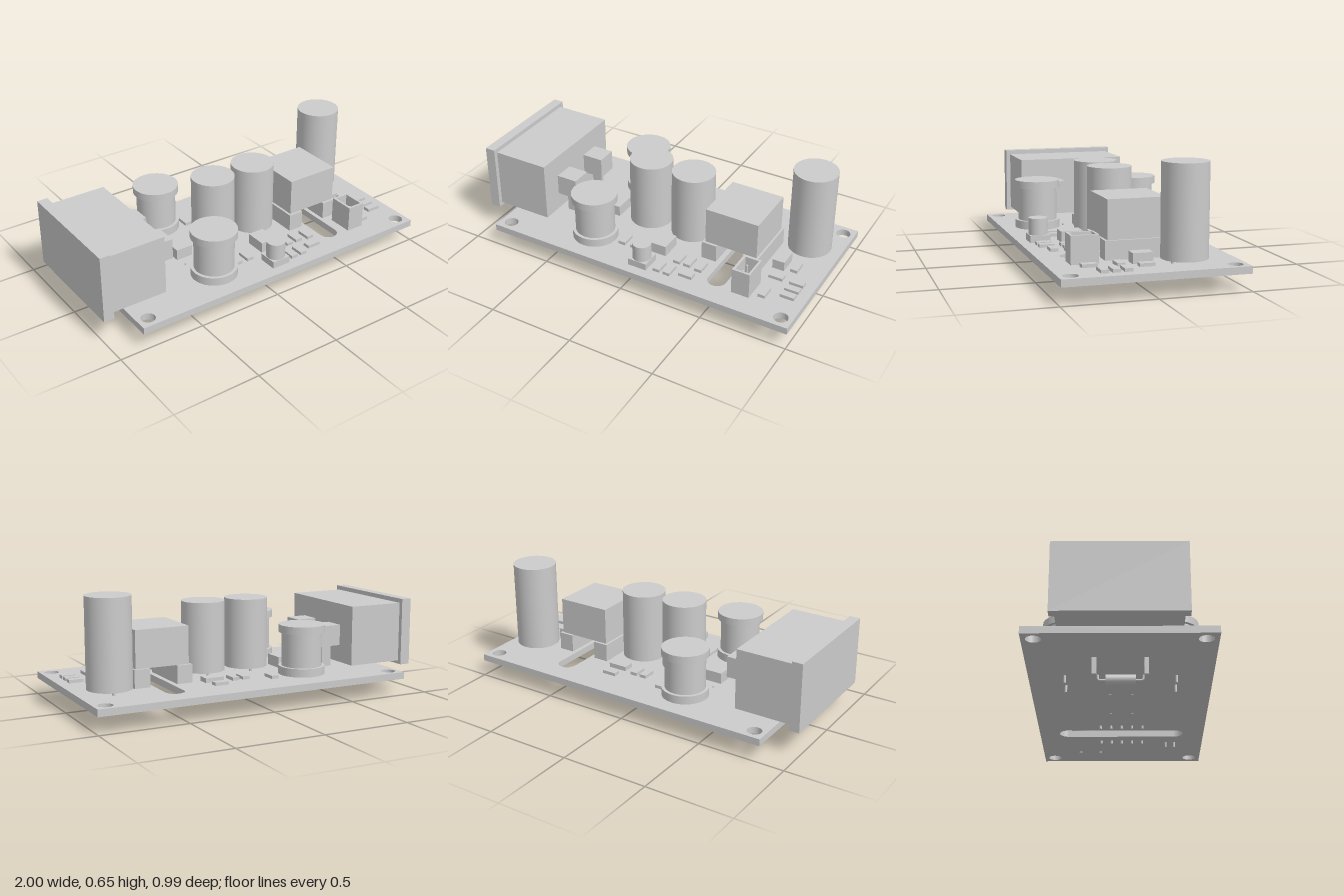
import * as THREE from 'three';

const grey = new THREE.MeshStandardMaterial({ color: 0xcccccc });
const TOP = 0.132, BOTTOM = 0.093;

export function createModel() {
  const model = new THREE.Group();

  const add = (name, geometry, parent = model) => {
    const mesh = new THREE.Mesh(geometry, grey);
    mesh.name = name;
    parent.add(mesh);
    return mesh;
  };
  const group = (name) => {
    const g = new THREE.Group();
    g.name = name;
    model.add(g);
    return g;
  };
  // box given by its limits on each axis
  const box = (name, x0, x1, y0, y1, z0, z1, parent) => {
    const m = add(name, new THREE.BoxGeometry(x1 - x0, y1 - y0, z1 - z0), parent);
    m.position.set((x0 + x1) / 2, (y0 + y1) / 2, (z0 + z1) / 2);
    return m;
  };
  // upright cylinder between two heights
  const post = (name, x, z, r, y0, y1, parent, sides = 48) => {
    const m = add(name, new THREE.CylinderGeometry(r, r, y1 - y0, sides), parent);
    m.position.set(x, (y0 + y1) / 2, z);
    return m;
  };

  // circuit board with corner holes and an isolation slot
  const outline = new THREE.Shape([[-0.855, -0.495], [1, -0.495], [1, 0.495], [-0.855, 0.495]]
    .map(([x, y]) => new THREE.Vector2(x, y)));
  for (const x of [-0.79, 0.935]) for (const y of [-0.43, 0.43]) {
    outline.holes.push(new THREE.Path().absarc(x, y, 0.04, 0, Math.PI * 2, true));
  }
  const slot = new THREE.Path();
  slot.absarc(0.505, 0.322, 0.053, 0, Math.PI, false);
  slot.absarc(0.505, -0.317, 0.053, Math.PI, Math.PI * 2, false);
  slot.closePath();
  outline.holes.push(slot);
  const boardGeometry = new THREE.ExtrudeGeometry(outline,
    { depth: TOP - BOTTOM, bevelEnabled: false, curveSegments: 20 });
  boardGeometry.rotateX(-Math.PI / 2).translate(0, BOTTOM, 0);
  add('circuitBoard', boardGeometry);

  // power inlet with flange, rear tabs and long legs
  const inlet = group('powerInlet');
  box('inletFlange', -1, -0.94, 0.14, 0.528, -0.345, 0.345, inlet);
  box('inletBody', -0.94, -0.61, 0.16, 0.503, -0.32, 0.32, inlet);
  for (const s of [-1, 1]) {
    const z = s * 0.135;
    box('inletTab', -0.61, -0.485, 0.26, 0.38, z - 0.06, z + 0.06, inlet);
    box('inletLeg', -0.58, -0.52, 0, 0.26, z - 0.012, z + 0.012, inlet);
  }

  // drum inductors
  for (const z of [-0.298, 0.298]) {
    const coil = group('inductor');
    post('lowerFlange', -0.287, z, 0.13, 0.148, 0.195, coil);
    post('winding', -0.287, z, 0.112, 0.195, 0.385, coil);
    post('upperFlange', -0.287, z, 0.13, 0.385, 0.428, coil);
    for (const x of [-0.352, -0.225]) post('inductorPin', x, z, 0.007, 0.05, 0.148, coil, 16);
  }

  // tall capacitors: x, z, top height, pin end
  for (const [x, z, top, end] of [[-0.09, 0, 0.555, 0.09], [0.183, 0, 0.555, 0.09], [0.823, -0.198, 0.652, 0.085]]) {
    const cap = group('capacitor');
    post('can', x, z, 0.123, 0.158, top, cap);
    for (const s of [-1, 1]) post('capacitorPin', x, z + s * 0.062, 0.009, end, 0.158, cap, 16);
  }

  // transformer on two pin rails
  const transformer = group('transformer');
  box('transformerCore', 0.347, 0.66, 0.235, 0.447, -0.16, 0.16, transformer);
  for (const [x0, x1, px] of [[0.333, 0.423, 0.378], [0.582, 0.672, 0.628]]) {
    box('pinRail', x0, x1, TOP, 0.235, -0.175, 0.175, transformer);
    for (let i = -2; i <= 2; i++) post('transformerPin', px, i * 0.0625, 0.007, 0.073, TOP, transformer, 12);
  }

  // open two-pin socket
  const socket = group('outputSocket');
  box('socketFloor', 0.615, 0.72, TOP, 0.16, 0.222, 0.37, socket);
  box('socketWall', 0.615, 0.63, 0.16, 0.282, 0.222, 0.37, socket);
  box('socketWall', 0.708, 0.72, 0.16, 0.282, 0.222, 0.37, socket);
  box('socketWall', 0.63, 0.708, 0.16, 0.282, 0.222, 0.235, socket);
  box('socketWall', 0.63, 0.708, 0.16, 0.282, 0.357, 0.37, socket);
  for (const z of [0.272, 0.323]) post('socketPin', 0.658, z, 0.006, 0.06, 0.26, socket, 12);

  // small surface-mounted capacitor
  const smallCap = group('smallCapacitor');
  box('smallCapacitorBase', 0.015, 0.127, TOP, 0.172, 0.325, 0.437, smallCap);
  post('smallCapacitorCan', 0.071, 0.381, 0.053, 0.172, 0.265, smallCap);

  // larger chips: x, z, width, depth, top height
  for (const [x, z, w, d, top] of [
    [-0.325, -0.002, 0.1, 0.125, 0.195], [0.108, 0.207, 0.097, 0.125, 0.193],
    [0.75, 0.01, 0.07, 0.11, 0.188], [0.22, -0.19, 0.11, 0.068, 0.158],
  ]) box('chip', x - w / 2, x + w / 2, TOP, top, z - d / 2, z + d / 2);

  // small chips: lengthwise along z, then along x
  const acrossZ = [[-0.115, -0.262], [0.035, -0.2], [0.097, -0.2], [-0.115, 0.255], [-0.04, 0.255],
    [0.18, 0.378], [0.243, 0.378], [0.241, 0.258], [0.305, 0.257], [0.38, 0.267], [0.775, 0.293], [0.836, 0.01]];
  const acrossX = [[0.218, -0.289], [0.343, 0.367], [0.775, 0.135], [0.897, 0.135], [0.897, 0.197], [0.897, 0.257]];
  for (const [x, z] of acrossZ) box('smallChip', x - 0.021, x + 0.021, TOP, 0.15, z - 0.041, z + 0.041);
  for (const [x, z] of acrossX) box('smallChip', x - 0.041, x + 0.041, TOP, 0.15, z - 0.021, z + 0.021);

  // diode under the board with bent leads
  const diode = group('undersideDiode');
  const body = add('diodeBody', new THREE.CylinderGeometry(0.031, 0.031, 0.16, 32), diode);
  body.rotation.x = Math.PI / 2;
  body.position.set(-0.36, 0.062, 0);
  const path = new THREE.CurvePath();
  const v = (y, z) => new THREE.Vector3(-0.36, y, z);
  path.add(new THREE.LineCurve3(v(0.14, -0.122), v(0.077, -0.122)));
  path.add(new THREE.QuadraticBezierCurve3(v(0.077, -0.122), v(0.062, -0.122), v(0.062, -0.107)));
  path.add(new THREE.LineCurve3(v(0.062, -0.107), v(0.062, 0.107)));
  path.add(new THREE.QuadraticBezierCurve3(v(0.062, 0.107), v(0.062, 0.122), v(0.077, 0.122)));
  path.add(new THREE.LineCurve3(v(0.077, 0.122), v(0.14, 0.122)));
  add('diodeLead', new THREE.TubeGeometry(path, 80, 0.006, 10), diode);
  for (const z of [-0.122, 0.122]) post('leadTip', -0.36, z, 0.006, 0.13, 0.14, diode, 10);

  return model;
}
